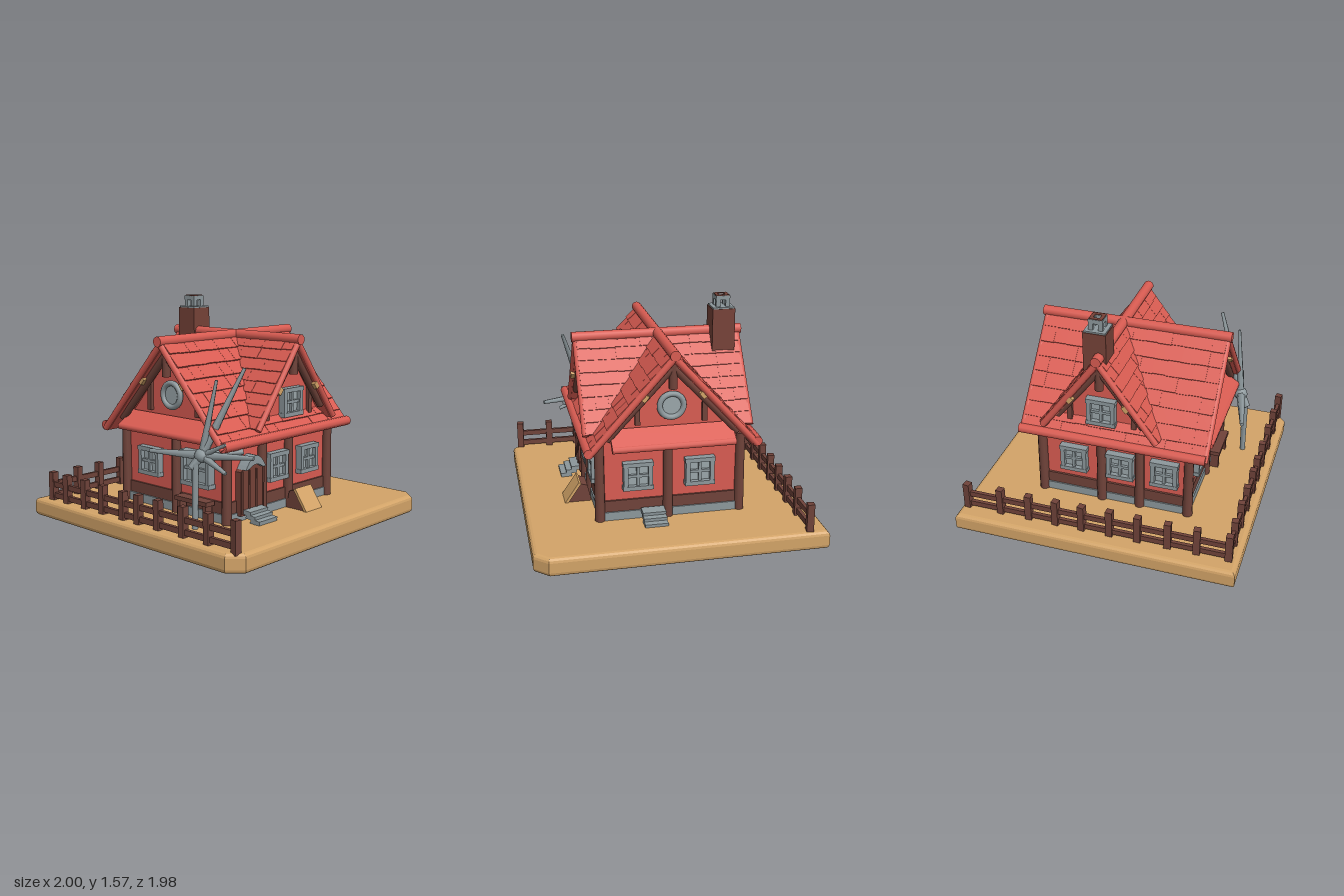
import * as THREE from 'three';
import { mergeGeometries } from 'three/addons/utils/BufferGeometryUtils.js';

const mat = (name, color) => Object.assign(new THREE.MeshStandardMaterial({ color }), { name });
const M = {
  red: mat('red paint', 0xd95c52), wood: mat('dark wood', 0x70433a), sand: mat('sand', 0xd3a468),
  stone: mat('grey stone', 0x8d989c), brick: mat('chimney brown', 0x764238), pane: mat('window pane', 0x9ba6aa),
};

let seed = 7;
const rand = () => (seed = (seed * 16807) % 2147483647) / 2147483647;
const V = (a) => new THREE.Vector3(...a);

function add(parent, name, geo, material, pos = [0, 0, 0], rot = [0, 0, 0]) {
  const m = new THREE.Mesh(geo, material);
  m.name = name;
  m.position.set(...pos);
  m.rotation.set(...rot);
  parent.add(m);
  return m;
}
const box = (p, name, material, size, pos, rot) => add(p, name, new THREE.BoxGeometry(...size), material, pos, rot);

// Tapered round pole between two points
function pole(p, name, material, a, b, r0, r1 = r0, sides = 10) {
  const A = V(a), B = V(b), d = B.clone().sub(A);
  const m = add(p, name, new THREE.CylinderGeometry(r1, r0, d.length(), sides), material);
  m.position.copy(A).add(B).multiplyScalar(0.5);
  m.quaternion.setFromUnitVectors(new THREE.Vector3(0, 1, 0), d.normalize());
  return m;
}
function group(parent, name, rotY = 0, pos = [0, 0, 0]) {
  const g = new THREE.Group();
  g.name = name;
  g.rotation.y = rotY;
  g.position.set(...pos);
  parent.add(g);
  return g;
}

// Four-pane window facing +z
function squareWindow(parent, x, y, z, w = 0.19, h = 0.2) {
  const g = group(parent, 'window', 0, [x, y, z]), t = 0.03;
  box(g, 'pane', M.pane, [w - t, h - t, 0.02], [0, 0, 0.01]);
  for (const s of [-1, 1]) {
    box(g, 'frameSide', M.stone, [t, h, 0.06], [s * (w - t) / 2, 0, 0.02]);
    box(g, 'frameRail', M.stone, [w + 0.01, t, 0.065], [0, s * (h - t) / 2, 0.02]);
  }
  box(g, 'mullion', M.stone, [0.02, h - t, 0.04], [0, 0, 0.02]);
  box(g, 'crossbar', M.stone, [w - t, 0.02, 0.04], [0, 0, 0.02]);
}
function roundWindow(parent, x, y, z) {
  const g = group(parent, 'roundWindow', 0, [x, y, z]);
  add(g, 'ring', new THREE.TorusGeometry(0.082, 0.02, 10, 28), M.stone, [0, 0, 0.03]);
  add(g, 'pane', new THREE.CylinderGeometry(0.082, 0.082, 0.03, 28), M.pane, [0, 0, 0.015], [Math.PI / 2, 0, 0]);
}

const RIDGE = 1.31;

// Pitched roof with its ridge on local z, covered in rows of uneven shingles
function pitchedRoof(parent, name, rotY, cx, half, drop, z0, z1) {
  const g = group(parent, name, rotY), len = z1 - z0, zc = (z0 + z1) / 2;
  const L = Math.hypot(half, drop), a = Math.atan2(drop, half), rows = 8;
  for (const s of [-1, 1]) {
    const side = group(g, 'roofSlope', 0, [cx, RIDGE, 0]);
    side.rotation.z = -s * a;
    box(side, 'roofBoard', M.red, [L, 0.04, len], [s * L / 2, -0.02, zc]);
    const tiles = [];
    for (let i = 0; i < rows; i++) {
      const n = Math.round(len / 0.09), w = len / n, d = L / rows;
      for (let j = 0; j < n; j++) {
        const t = new THREE.BoxGeometry(d * 1.15 + rand() * 0.012, 0.014, w);
        t.rotateZ(s * 0.09);
        t.translate(s * (i + 0.5) * d, 0.004 + rand() * 0.004, z0 + (j + 0.5) * w);
        tiles.push(t);
      }
    }
    add(side, 'shingles', mergeGeometries(tiles), M.red);
    // Rolled trim along both gable edges
    for (const z of [z0, z1]) pole(side, 'gableTrim', M.red, [0, -0.012, z], [s * (L + 0.01), -0.012, z], 0.024);
  }
  pole(g, 'ridgeLog', M.red, [cx, RIDGE, z0 - 0.03], [cx, RIDGE, z1 + 0.03], 0.036, 0.036, 14);
  return g;
}

// Gable wall and timbers facing +z
function gable(parent, name, rotY, cx, half, drop, wallZ, edgeZ) {
  const g = group(parent, name, rotY);
  const k = half / drop, top = RIDGE - 0.05, bot = 0.66, hw = (top - bot) * k;
  const tri = new THREE.Shape([[cx - hw, bot], [cx + hw, bot], [cx, top]].map(p => new THREE.Vector2(...p)));
  const geo = new THREE.ExtrudeGeometry(tri, { depth: 0.06, bevelEnabled: false });
  add(g, 'gableWall', geo, M.red, [0, 0, wallZ - 0.06]);
  const zt = (wallZ + edgeZ) / 2 + 0.01, y0 = 1.25, y1 = RIDGE - drop + 0.07;
  for (const s of [-1, 1]) {
    pole(g, 'rafter', M.wood, [cx, y0 - 0.03, zt], [cx + s * (y0 - y1 - 0.01) * k, y1, zt], 0.028);
    const px = cx + s * 0.2, py = RIDGE - 0.2 / k - 0.055;
    box(g, 'peg', M.sand, [0.05, 0.045, 0.09], [px, py, zt + 0.01], [0, 0, -s * 0.9]);
    box(g, 'strut', M.wood, [0.035, 0.2, 0.03], [px + s * 0.03, py - 0.12, wallZ + 0.01]);
  }
  pole(g, 'kingPost', M.wood, [cx, 1.07, zt], [cx, 1.27, zt], 0.03);
  return g;
}

// Rows of fence posts with two rails, running from a to b
function fence(parent, name, posts, place, rotY) {
  const g = group(parent, name);
  for (const t of posts) {
    box(g, 'fencePost', M.wood, [0.048, 0.2 + rand() * 0.02, 0.048], place(t, 0.225), [0, rand() * 0.3 - 0.15, 0]);
  }
  const a = posts[0], b = posts[posts.length - 1];
  for (const y of [0.165, 0.245]) {
    box(g, 'fenceRail', M.wood, [b - a, 0.038, 0.025], place((a + b) / 2, y), [0, rotY, 0]);
  }
}

export function createModel() {
  const root = new THREE.Group();
  root.name = 'cottage';

  // Sandy ground slab with cut front corners and soft edges
  const outline = new THREE.Shape([[-0.97, 0.96], [-0.97, -0.88], [-0.9, -0.955], [0.9, -0.955], [0.97, -0.88], [0.97, 0.96]]
    .reverse().map(p => new THREE.Vector2(...p)));
  const slab = new THREE.ExtrudeGeometry(outline, { depth: 0.07, bevelSize: 0.03, bevelThickness: 0.03, bevelSegments: 3 });
  slab.rotateX(-Math.PI / 2);
  add(root, 'ground', slab, M.sand, [0, 0.03, 0]);

  // House body
  const house = group(root, 'house');
  box(house, 'walls', M.red, [1.05, 0.5, 0.95], [-0.01, 0.43, 0]);
  box(house, 'foundation', M.stone, [1.1, 0.08, 1.0], [-0.01, 0.15, 0]);
  box(house, 'sillBeam', M.wood, [1.08, 0.085, 0.98], [-0.01, 0.228, 0]);
  for (const z of [-0.49, 0.49]) for (const x of [-0.55, -0.2, 0.08, 0.52]) {
    pole(house, 'wallPost', M.wood, [x, 0.12, z], [x, 0.7, z], 0.036, 0.032);
  }
  for (const x of [-0.55, 0.53]) pole(house, 'sidePost', M.wood, [x, 0.12, 0.02], [x, 0.7, 0.02], 0.036, 0.032);

  // Crossing roofs
  pitchedRoof(house, 'mainRoof', Math.PI / 2, 0, 0.575, 0.64, -0.67, 0.63);
  pitchedRoof(house, 'crossRoof', 0, 0.07, 0.41, 0.56, -0.57, 0.57);
  for (const s of [-1, 1]) {
    pole(house, 'eaveLog', M.red, [-0.68, 0.675, s * 0.575], [0.65, 0.675, s * 0.575], 0.034);
    // Sloping skirt below each side gable
    const x = s > 0 ? 0.59 : -0.61;
    box(house, 'sideSkirt', M.red, [0.16, 0.035, 0.84], [x, 0.735, 0], [0, 0, -s * 0.6]);
    pole(house, 'skirtLog', M.red, [x + s * 0.06, 0.69, -0.42], [x + s * 0.06, 0.69, 0.42], 0.024);
  }

  // Gables and their windows
  const front = gable(house, 'frontGable', 0, 0.07, 0.41, 0.56, 0.48, 0.57);
  const back = gable(house, 'backGable', Math.PI, -0.07, 0.41, 0.56, 0.48, 0.57);
  const right = gable(house, 'leftGable', Math.PI / 2, 0, 0.575, 0.64, 0.52, 0.63);
  const left = gable(house, 'rightGable', -Math.PI / 2, 0, 0.575, 0.64, 0.54, 0.67);
  squareWindow(front, 0.085, 0.875, 0.48, 0.2);
  squareWindow(back, -0.07, 0.875, 0.48, 0.2);
  roundWindow(right, 0, 0.94, 0.52);
  roundWindow(left, 0, 0.94, 0.54);
  for (const x of [-0.055, 0.28]) squareWindow(front, x, 0.445, 0.475);
  for (const x of [-0.28, 0.06, 0.38]) squareWindow(back, x, 0.445, 0.475);
  for (const x of [-0.23, 0.2]) squareWindow(right, x, 0.45, 0.515, 0.2);
  squareWindow(left, -0.23, 0.45, 0.535, 0.2);
  squareWindow(left, 0.24, 0.47, 0.55, 0.26, 0.24);

  // Bench under the wide window
  box(left, 'benchSeat', M.wood, [0.3, 0.03, 0.08], [0.24, 0.26, 0.6]);
  for (const x of [0.12, 0.36]) box(left, 'benchLeg', M.wood, [0.03, 0.13, 0.06], [x, 0.185, 0.6]);

  // Planked door with a stone arch
  const door = group(house, 'door', 0, [-0.34, 0, 0.48]);
  const leaf = new THREE.Shape();
  leaf.moveTo(-0.115, 0.17).lineTo(0.115, 0.17).lineTo(0.115, 0.47);
  leaf.quadraticCurveTo(0, 0.58, -0.115, 0.47);
  add(door, 'doorLeaf', new THREE.ExtrudeGeometry(leaf, { depth: 0.05, bevelEnabled: false }), M.brick);
  for (const x of [-0.105, -0.035, 0.035, 0.105]) box(door, 'doorPlank', M.wood, [0.012, 0.29, 0.008], [x, 0.33, 0.052]);
  const arch = new THREE.Shape();
  arch.moveTo(-0.1, 0.485).quadraticCurveTo(0, 0.66, 0.1, 0.485);
  arch.lineTo(0.07, 0.485).quadraticCurveTo(0, 0.54, -0.07, 0.485);
  add(door, 'doorArch', new THREE.ExtrudeGeometry(arch, { depth: 0.08, bevelEnabled: false }), M.stone);

  // Stone steps
  for (let i = 0; i < 3; i++) {
    box(root, 'frontStep', M.stone, [0.18, 0.03, 0.08], [-0.34, 0.145 + i * 0.025, 0.63 - i * 0.04], [0.08, 0, 0]);
    box(root, 'sideStep', M.stone, [0.08, 0.03, 0.16], [0.66 - i * 0.04, 0.14 + i * 0.025, 0.13], [0, 0, -0.08]);
  }

  // Cellar hatch: dark wedge with a sandy lid
  const wedge = new THREE.Shape([[0.5, 0.12], [0.68, 0.12], [0.58, 0.265], [0.53, 0.25]].map(p => new THREE.Vector2(...p)));
  const wedgeGeo = new THREE.ExtrudeGeometry(wedge, { depth: 0.15, bevelEnabled: false });
  wedgeGeo.rotateY(-Math.PI / 2);
  add(root, 'hatchBody', wedgeGeo, M.wood, [0.195, 0, 0]);
  box(root, 'hatchLid', M.sand, [0.175, 0.18, 0.02], [0.12, 0.2, 0.635], [-0.6, 0, 0]);

  // Chimney with a small open cap
  const ch = group(root, 'chimney', 0, [0.1, 0, -0.45]);
  box(ch, 'chimneyStack', M.brick, [0.16, 0.35, 0.16], [0, 1.305, 0]);
  box(ch, 'chimneyRim', M.stone, [0.15, 0.012, 0.15], [0, 1.485, 0]);
  for (const x of [-0.034, 0.034]) for (const z of [-0.034, 0.034]) {
    box(ch, 'capLeg', M.stone, [0.03, 0.06, 0.03], [x, 1.515, z]);
  }
  for (const s of [-1, 1]) {
    box(ch, 'capRim', M.stone, [0.1, 0.03, 0.03], [0, 1.552, s * 0.035]);
    box(ch, 'capRim', M.stone, [0.03, 0.03, 0.04], [s * 0.035, 1.552, 0]);
    box(ch, 'capTop', M.brick, [0.09, 0.006, 0.024], [0, 1.569, s * 0.035]);
    box(ch, 'capTop', M.brick, [0.024, 0.006, 0.046], [s * 0.035, 1.569, 0]);
  }

  // Fences along the back and one side
  fence(root, 'backFence', [-0.93, -0.71, -0.51, -0.3, -0.1, 0.1, 0.29, 0.49, 0.7, 0.95], (t, y) => [t, y, -0.86], 0);
  fence(root, 'sideFence', [-0.86, -0.7, -0.5, -0.31, -0.1, 0.05, 0.24, 0.47, 0.69, 0.92], (t, y) => [-0.93, y, t], Math.PI / 2);

  // Bare dead tree
  const tree = group(root, 'deadTree');
  const fork = [-0.71, 0.61, 0.42];
  pole(tree, 'trunk', M.stone, [-0.755, 0.11, 0.4], [-0.75, 0.56, 0.4], 0.02, 0.024, 7);
  const branches = [
    [[-0.5, 1.17, 0.6], 0.034, 0.012], [[-0.655, 1.1, 0.5], 0.028, 0.01], [[-0.8, 0.6, 0.03], 0.034, 0.014],
    [[-0.58, 0.62, 0.75], 0.03, 0.014], [[-0.51, 0.63, 0.6], 0.036, 0.02], [[-0.7, 0.52, 0.62], 0.03, 0.014],
    [[-0.77, 0.53, 0.38], 0.034, 0.024], [[-0.68, 0.7, 0.6], 0.022, 0.01],
  ];
  for (const [tip, r0, r1] of branches) pole(tree, 'branch', M.stone, fork, tip, r0, r1, 6);
  add(tree, 'knot', new THREE.IcosahedronGeometry(0.05, 1), M.stone, fork);

  return root;
}
